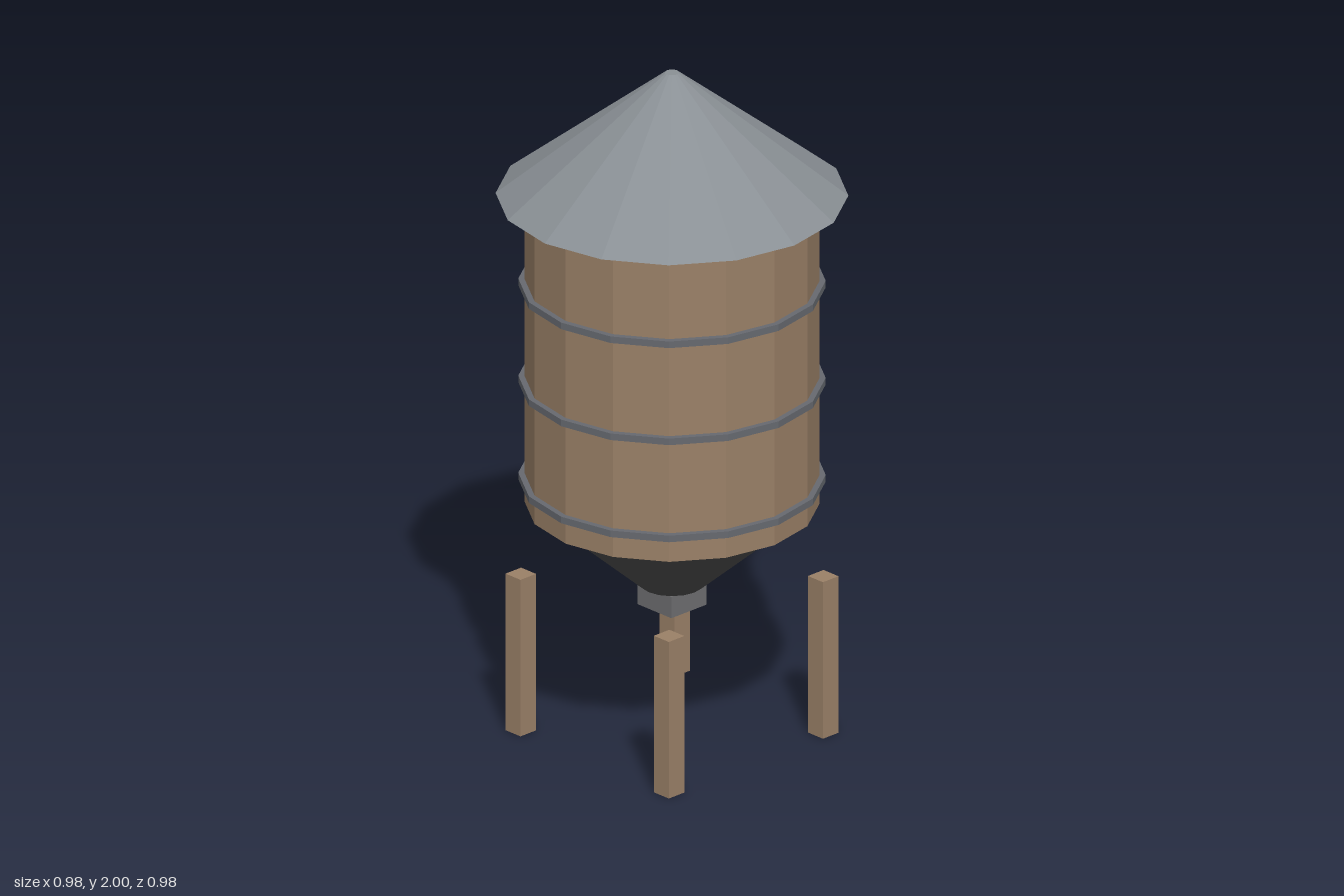
import * as THREE from 'three';

const SIDES = 16;

const material = (color) => new THREE.MeshStandardMaterial({ color, flatShading: true });

export function createModel() {
  const group = new THREE.Group();
  const wood = material(0x9a8067);
  const roofMetal = material(0x8a9095);
  const bandMetal = material(0x66696f);
  const funnelMetal = material(0x4a4a4a);
  const spoutMetal = material(0x6e6e70);

  const add = (name, geometry, mat, x, y, z) => {
    const mesh = new THREE.Mesh(geometry, mat);
    mesh.name = name;
    mesh.position.set(x, y, z);
    group.add(mesh);
  };
  // Faceted drum or cone between two heights
  const drum = (name, rTop, rBottom, y0, y1, mat) =>
    add(name, new THREE.CylinderGeometry(rTop, rBottom, y1 - y0, SIDES), mat, 0, (y0 + y1) / 2, 0);

  // Conical roof with a tiny flat tip
  drum('roof', 0.02, 0.49, 1.63, 2, roofMetal);

  // Wooden tank and its metal hoops
  drum('tank', 0.41, 0.41, 0.695, 1.63, wood);
  for (let i = 0; i < 4; i++) {
    const y = 0.772 + i * 0.2945 - (i === 3 ? 0.037 : 0);
    const top = i === 3 ? 1.628 : y + 0.01;
    drum('hoop', 0.427, 0.427, top - 0.02, top, bandMetal);
  }

  // Funnel and square spout below the tank
  drum('funnel', 0.37, 0.09, 0.45, 0.695, funnelMetal);
  add('spout', new THREE.BoxGeometry(0.135, 0.065, 0.135), spoutMetal, 0, 0.418, 0);

  // Four square legs
  for (const x of [-0.297, 0.297]) {
    for (const z of [-0.297, 0.297]) {
      add('leg', new THREE.BoxGeometry(0.06, 0.475, 0.06), wood, x, 0.2375, z);
    }
  }
  return group;
}
